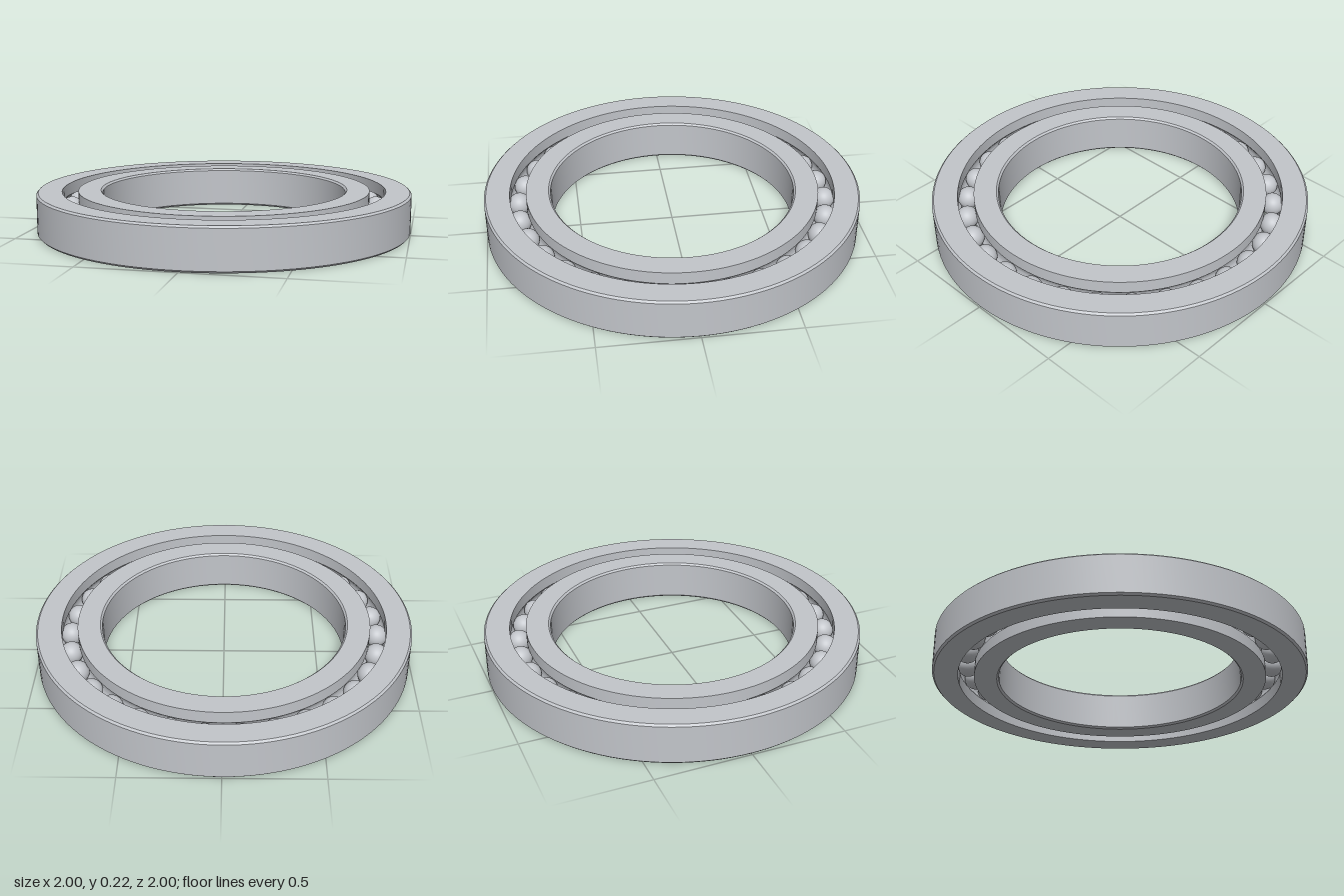
import * as THREE from 'three';
import { toCreasedNormals } from 'three/addons/utils/BufferGeometryUtils.js';

const HEIGHT = 0.22, MID = HEIGHT / 2, CHAMFER = 0.01;
const ORBIT = 0.823, BALL_RADIUS = 0.06, GROOVE_RADIUS = 0.062, BALLS = 30;

// Arc of the ball groove cut into a race wall, from bottom (dir 1) or top (dir -1)
function groove(wallRadius, dir) {
  const offset = wallRadius - ORBIT;
  const half = Math.acos(Math.abs(offset) / GROOVE_RADIUS);
  const points = [];
  for (let i = 0; i <= 12; i++) {
    const a = dir * half * (i / 6 - 1);
    points.push([
      ORBIT + Math.sign(offset) * GROOVE_RADIUS * Math.cos(a),
      MID + GROOVE_RADIUS * Math.sin(a),
    ]);
  }
  return points;
}

// Closed counter-clockwise section turned around the y axis
function ring(name, section, material) {
  const points = [...section, section[0]].map(([r, y]) => new THREE.Vector2(r, y));
  const geometry = toCreasedNormals(new THREE.LatheGeometry(points, 128), 0.5);
  const mesh = new THREE.Mesh(geometry, material);
  mesh.name = name;
  return mesh;
}

export function createModel() {
  const model = new THREE.Group();
  model.name = 'ballBearing';
  const steel = new THREE.MeshStandardMaterial({ color: 0xc2c5ca });
  steel.name = 'steel';

  // Outer race: chamfered rim, grooved inner wall
  const rim = 1, outerWall = 0.865;
  model.add(ring('outerRace', [
    [outerWall, 0], [rim - CHAMFER, 0], [rim, CHAMFER],
    [rim, HEIGHT - CHAMFER], [rim - CHAMFER, HEIGHT], [outerWall, HEIGHT],
    ...groove(outerWall, -1),
  ], steel));

  // Inner race: grooved outer wall, chamfered bore
  const bore = 0.65, innerWall = 0.78;
  model.add(ring('innerRace', [
    [bore + CHAMFER, 0], [innerWall, 0],
    ...groove(innerWall, 1),
    [innerWall, HEIGHT], [bore + CHAMFER, HEIGHT],
    [bore, HEIGHT - CHAMFER], [bore, CHAMFER],
  ], steel));

  // Balls evenly spaced between the races
  const balls = new THREE.Group();
  balls.name = 'balls';
  const ballGeometry = new THREE.SphereGeometry(BALL_RADIUS, 32, 20);
  for (let i = 0; i < BALLS; i++) {
    const a = (i / BALLS) * Math.PI * 2;
    const ball = new THREE.Mesh(ballGeometry, steel);
    ball.name = 'ball';
    ball.position.set(ORBIT * Math.cos(a), MID, ORBIT * Math.sin(a));
    balls.add(ball);
  }
  model.add(balls);

  return model;
}
